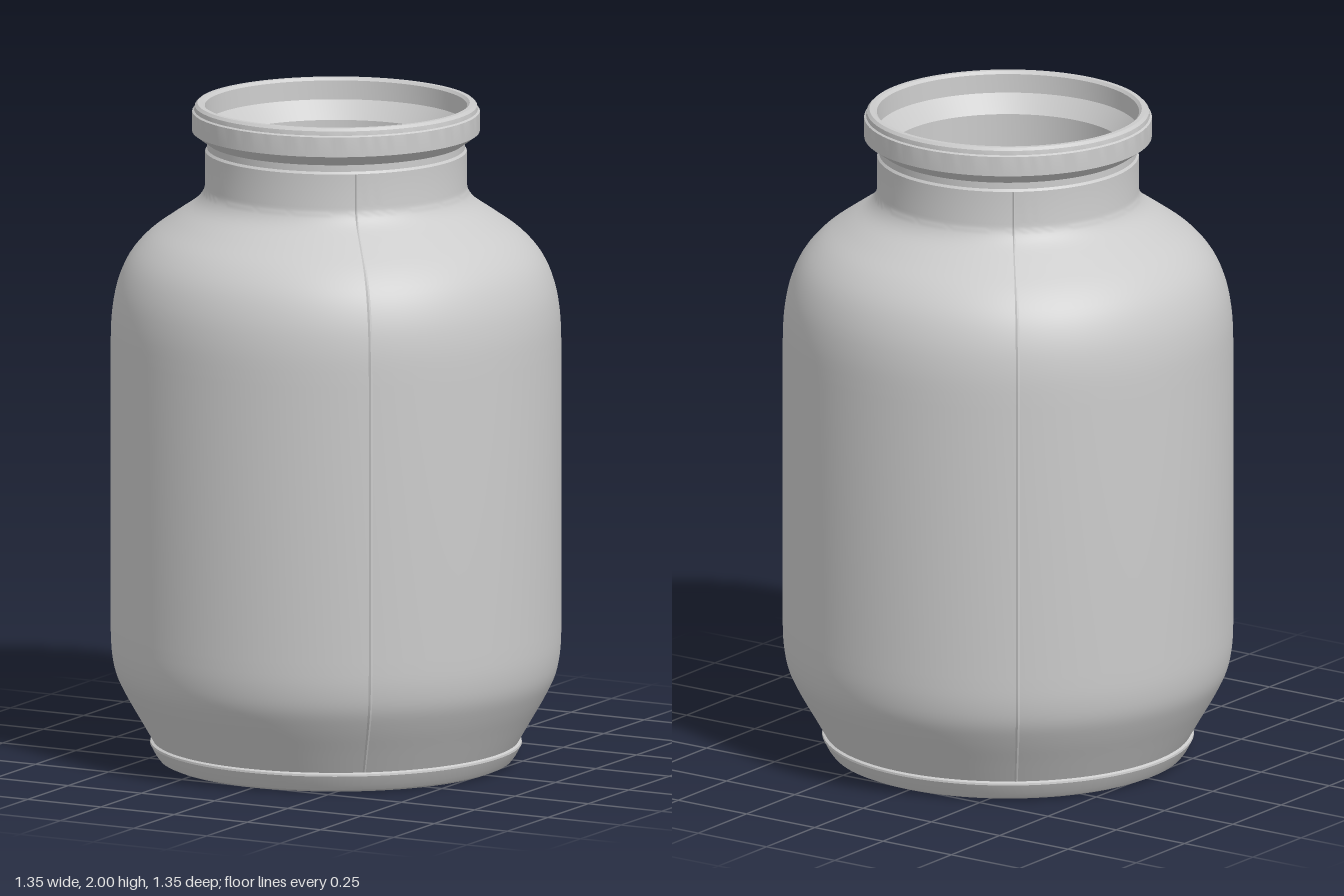
import * as THREE from 'three';
import { toCreasedNormals } from 'three/addons/utils/BufferGeometryUtils.js';

const points = (list) => list.map(([r, y]) => new THREE.Vector2(r, y));
const smooth = (list, n) => new THREE.SplineCurve(points(list)).getPoints(n);

const material = new THREE.MeshStandardMaterial({ color: 0xcccccc });
const ribMaterial = new THREE.MeshStandardMaterial({ color: 0xcccccc, side: THREE.DoubleSide });

// Profiles, as radius and height, running upwards
const foot = points([[0, 0.012], [0.3, 0.01], [0.46, 0.004], [0.51, 0], [0.528, 0.008], [0.54, 0.024], [0.556, 0.054], [0.555, 0.06], [0.547, 0.064]]);
const lowerBody = smooth([[0.547, 0.064], [0.585, 0.13], [0.628, 0.205], [0.658, 0.27], [0.671, 0.34], [0.674, 0.42]], 20);
const shoulder = smooth([[0.674, 1.26], [0.67, 1.36], [0.654, 1.45], [0.62, 1.53], [0.565, 1.595], [0.49, 1.65], [0.425, 1.695], [0.397, 1.73], [0.391, 1.76]], 32);
const neckTop = new THREE.Vector2(0.391, 1.855);
const rim = points([[0.385, 1.862], [0.385, 1.882], [0.43, 1.915], [0.43, 1.975], [0.424, 1.979], [0.422, 1.992], [0.414, 2], [0.4, 2], [0.392, 1.992]]);

// Inner wall, running downwards from the mouth to the floor
const inside = [
  ...points([[0.39, 1.935], [0.349, 1.88], [0.349, 1.76]]),
  ...smooth([[0.349, 1.74], [0.385, 1.675], [0.46, 1.62], [0.54, 1.565], [0.6, 1.49], [0.628, 1.4], [0.634, 1.28]], 24),
  ...smooth([[0.634, 0.42], [0.62, 0.28], [0.58, 0.19], [0.53, 0.1], [0.47, 0.058], [0.38, 0.05]], 20),
  new THREE.Vector2(0, 0.05),
];

const wall = [...lowerBody, ...shoulder, neckTop];

// Thin raised mould line following the outer wall
function moldLine(angle) {
  const halfAngle = 0.009;
  const geometry = new THREE.LatheGeometry(wall, 2, angle - halfAngle, halfAngle * 2);
  const position = geometry.attributes.position;
  for (let i = wall.length; i < wall.length * 2; i++) {
    position.setX(i, position.getX(i) + Math.sin(angle) * 0.004);
    position.setZ(i, position.getZ(i) + Math.cos(angle) * 0.004);
  }
  const mesh = new THREE.Mesh(toCreasedNormals(geometry, 0.4), ribMaterial);
  mesh.name = 'moldLine';
  return mesh;
}

export function createModel() {
  const group = new THREE.Group();
  group.name = 'jar';

  // One closed shell: foot, body, shoulder, neck, lip and hollow inside
  const profile = [...foot.slice(0, -1), ...wall, ...rim, ...inside];
  const shell = new THREE.Mesh(toCreasedNormals(new THREE.LatheGeometry(profile, 128), 0.5), material);
  shell.name = 'jarShell';
  group.add(shell);

  // Two mould lines on opposite sides
  for (const angle of [0.66, 0.66 + Math.PI]) group.add(moldLine(angle));
  return group;
}
